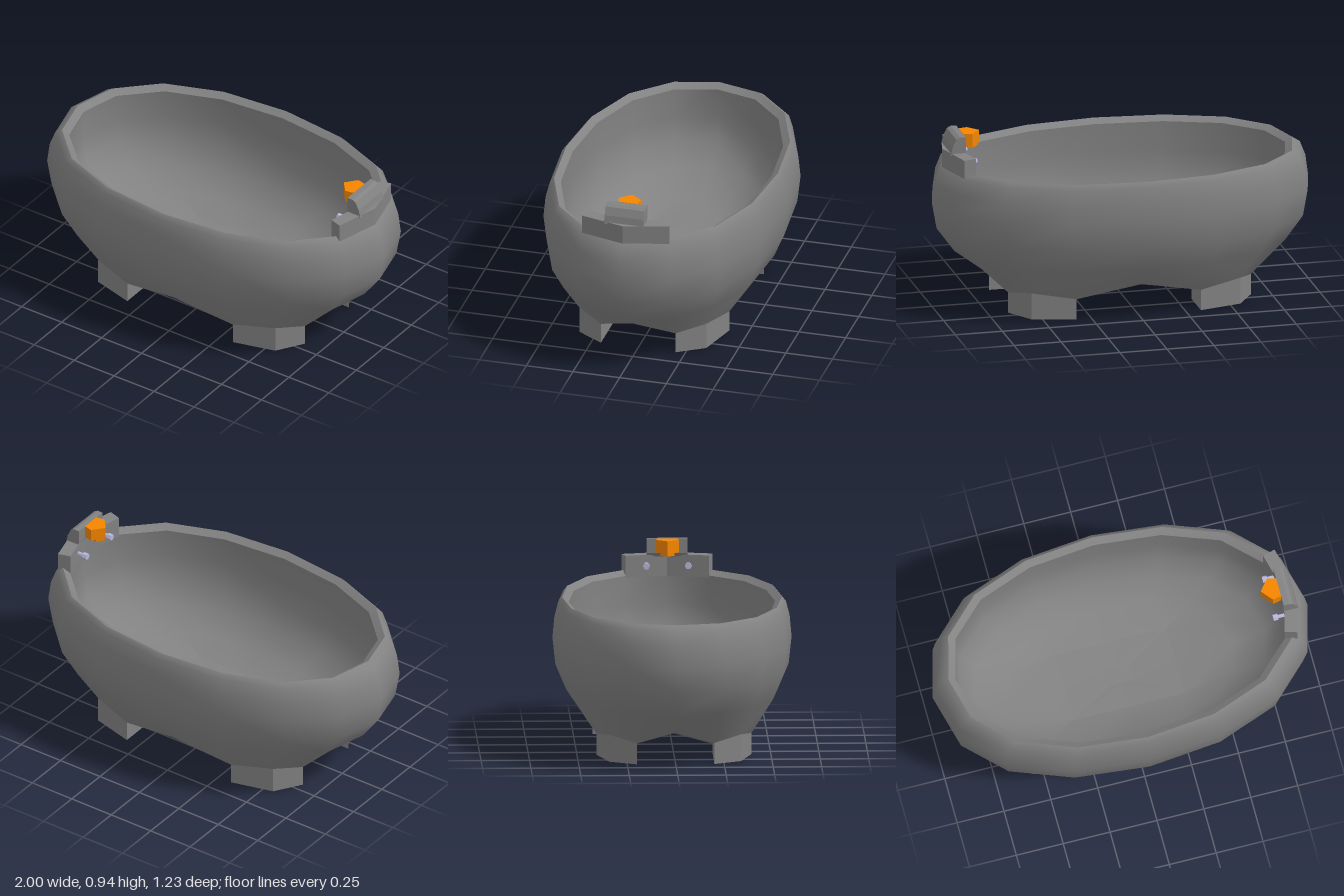
import * as THREE from 'three';

const SIDES = 16;
const grey = new THREE.MeshStandardMaterial({ color: 0x828282 });
const flatGrey = new THREE.MeshStandardMaterial({ color: 0x828282, flatShading: true });
const orange = new THREE.MeshStandardMaterial({ color: 0xf58600, flatShading: true });
const steel = new THREE.MeshStandardMaterial({ color: 0xb8b8dc, flatShading: true });

// Five points of one quadrant mirrored into a full ring
function mirrored(quarter) {
  return Array.from({ length: SIDES }, (_, j) => {
    const m = j % 8;
    const [x, y, z] = quarter[m <= 4 ? m : 8 - m];
    return [j > 4 && j < 12 ? -x : x, y, j > 8 ? -z : z];
  });
}

// Slightly squared oval at one height
const OVAL = [[1, 0], [0.935, 0.405], [0.728, 0.735], [0.398, 0.935], [0, 1]];
function oval(rx, y, rz) {
  return mirrored(OVAL.map(([x, z]) => [x * rx, y, z * rz]));
}

// Rectangle whose corner takes three points of each quadrant
function rectangle(rx, rz, yMid, yCorner) {
  const corner = [rx, yCorner, rz];
  return mirrored([[rx, yMid, 0], corner, corner, corner, [0, yMid, rz]]);
}

// Skin through successive rings, with diagonals mirrored per quadrant
function loft(rings) {
  const index = [];
  for (let i = 0; i < rings.length - 1; i++) {
    for (let j = 0; j < SIDES; j++) {
      const n = (j + 1) % SIDES;
      const a = i * SIDES + j, b = a + SIDES;
      const c = (i + 1) * SIDES + n, d = i * SIDES + n;
      if (j % 8 < 4) index.push(a, b, c, a, c, d);
      else index.push(a, b, d, b, c, d);
    }
  }
  const geo = new THREE.BufferGeometry();
  geo.setAttribute('position', new THREE.Float32BufferAttribute(rings.flat(2), 3));
  geo.setIndex(index);
  geo.computeVertexNormals();
  return geo;
}

// Plan outline [x, z] raised from y0 to y1
function slab(points, y0, y1) {
  const shape = new THREE.Shape(points.map(([x, z]) => new THREE.Vector2(x, -z)));
  const geo = new THREE.ExtrudeGeometry(shape, { depth: y1 - y0, bevelEnabled: false });
  return geo.rotateX(-Math.PI / 2).translate(0, y0, 0);
}

// Box whose corners are moved to the foot's plan; top follows the basin
function footGeometry(sx, sz) {
  const corners = {
    '1,1': [0.555, 0.34, 0.14], '1,-1': [0.645, 0.2, 0.11],
    '-1,1': [0.33, 0.4, 0.11], '-1,-1': [0.33, 0.2, 0.055],
  };
  const geo = new THREE.BoxGeometry(1, 1, 1);
  const p = geo.attributes.position;
  for (let i = 0; i < p.count; i++) {
    const key = `${Math.sign(p.getX(i)) * sx},${Math.sign(p.getZ(i)) * sz}`;
    const [x, z, top] = corners[key];
    p.setXYZ(i, x * sx, p.getY(i) > 0 ? top : 0, z * sz);
  }
  geo.computeVertexNormals();
  return geo;
}

export function createModel() {
  const model = new THREE.Group();
  const add = (name, geo, mat) => {
    const mesh = new THREE.Mesh(geo, mat);
    mesh.name = name;
    model.add(mesh);
    return mesh;
  };

  // Basin: underside, outer wall, rim lip, inner wall, floor and drain
  const hem = mirrored([
    [0.74, 0.185, 0], [0.645, 0.11, 0.2], [0.555, 0.14, 0.34], [0.33, 0.11, 0.4], [0, 0.185, 0.46],
  ]);
  const rim = oval(0.915, 0.77, 0.567);
  const lip = oval(0.878, 0.745, 0.532);
  const floorEdge = rectangle(0.295, 0.185, 0.212, 0.22);
  const drainEdge = rectangle(0.06, 0.045, 0.2, 0.2);
  add('underside', loft([
    oval(0, 0.105, 0),
    rectangle(0.33, 0.2, 0.11, 0.055),
    hem,
  ]), grey);
  add('outerWall', loft([
    hem,
    oval(0.88, 0.29, 0.547),
    oval(0.975, 0.42, 0.602),
    oval(1, 0.56, 0.617),
    oval(0.985, 0.67, 0.607),
    oval(0.955, 0.745, 0.588),
    rim,
  ]), grey);
  add('rimLip', loft([rim, lip]), grey);
  add('innerWall', loft([
    lip,
    oval(0.882, 0.59, 0.535),
    oval(0.86, 0.465, 0.518),
    oval(0.77, 0.35, 0.46),
    oval(0.6, 0.255, 0.355),
    floorEdge,
  ]), grey);
  add('floor', loft([floorEdge, drainEdge]), flatGrey);
  add('drain', loft([drainEdge, oval(0, 0.2, 0)]), flatGrey);

  // Feet
  for (const sx of [1, -1]) {
    for (const sz of [1, -1]) add('foot', footGeometry(sx, sz), flatGrey);
  }

  // Tap mount rising from the rim
  add('tapMount', slab([
    [0.82, 0.215], [0.885, 0.235], [0.947, 0], [0.885, -0.235], [0.82, -0.215], [0.875, 0],
  ], 0.735, 0.85), flatGrey);

  // Curved hood over the tap
  const hood = new THREE.Shape();
  hood.moveTo(0.845, 0.86);
  hood.lineTo(0.86, 0.84);
  hood.lineTo(0.925, 0.84);
  hood.lineTo(0.915, 0.885);
  hood.lineTo(0.895, 0.925);
  hood.lineTo(0.875, 0.935);
  hood.lineTo(0.845, 0.935);
  const hoodGeo = new THREE.ExtrudeGeometry(hood, { depth: 0.21, bevelEnabled: false });
  add('tapHood', hoodGeo.translate(0, 0, -0.105), flatGrey);

  // Pointed spout with its lower lip
  add('spout', slab([
    [0.75, 0], [0.8, 0.06], [0.845, 0.05], [0.845, -0.05], [0.8, -0.06],
  ], 0.87, 0.936), orange);
  add('spoutLip', slab([
    [0.757, 0], [0.785, 0.035], [0.82, 0.035], [0.82, -0.035], [0.785, -0.035],
  ], 0.855, 0.87), orange);

  // Tap knobs
  for (const s of [1, -1]) {
    const stem = new THREE.CylinderGeometry(0.01, 0.01, 0.06, 6).rotateZ(Math.PI / 2);
    add('knobStem', stem, steel).position.set(0.83, 0.8, s * 0.108);
    const knob = new THREE.CylinderGeometry(0.018, 0.018, 0.025, 6).rotateZ(Math.PI / 2);
    add('knob', knob, steel).position.set(0.8, 0.8, s * 0.108);
  }
  return model;
}
